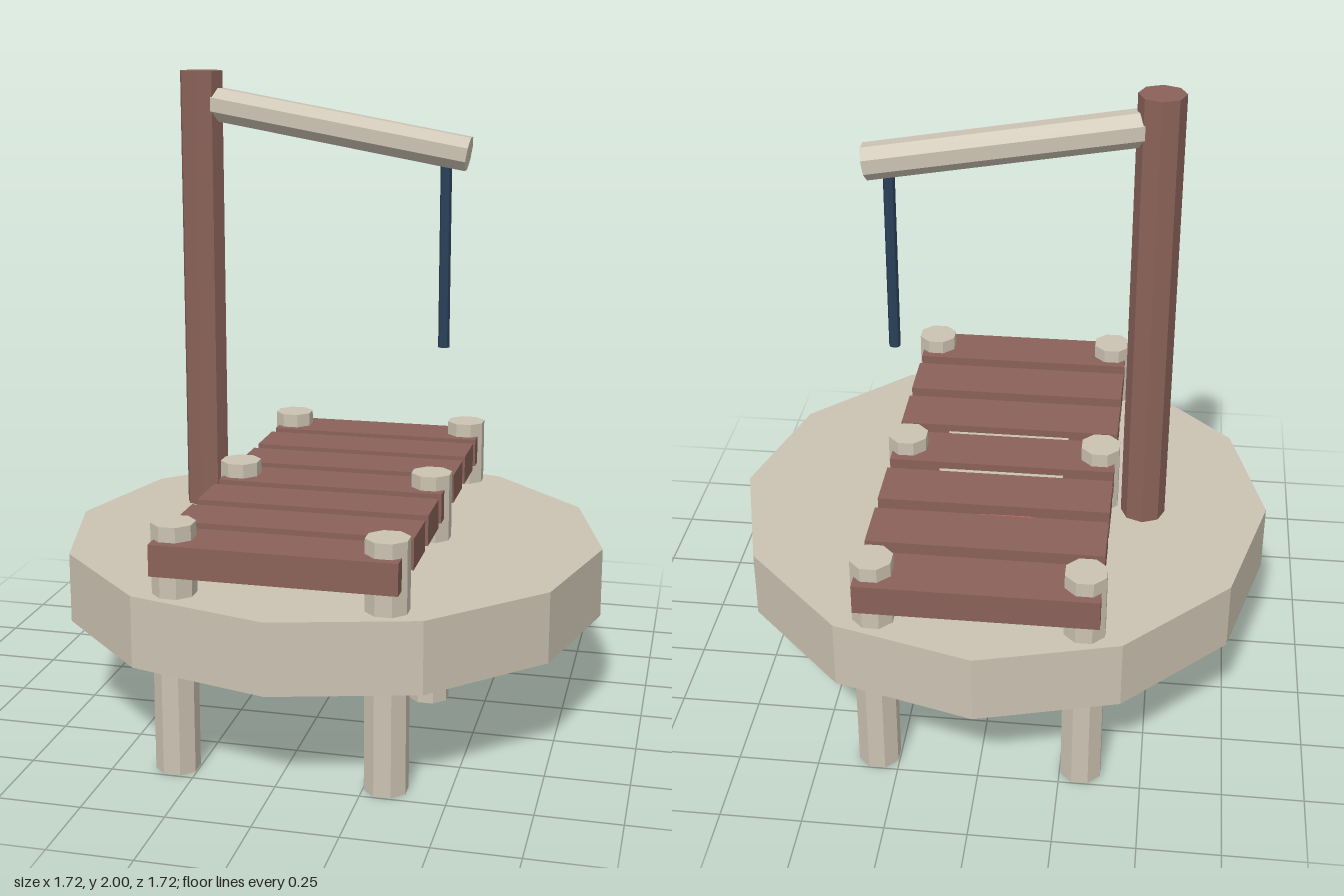
import * as THREE from 'three';

const mat = (name, color, side = THREE.FrontSide) => {
  const m = new THREE.MeshStandardMaterial({ color, side, flatShading: true });
  m.name = name;
  return m;
};

// Rowing boat shell: closed rings of five points joined by quads, plus a floor
function boatGeometry() {
  const mirror = ([stern, side, bow]) => {
    const flip = ([x, y, z]) => [-x, y, z];
    return [stern, side, bow, flip(side), flip(stern)];
  };
  const rings = [
    [[0.26, 0.54, 0.335], [0.2, 0.54, -0.22], [0, 0.54, -0.45]],      // keel
    [[0.285, 0.622, 0.345], [0.215, 0.668, -0.275], [0, 0.71, -0.515]], // outer rim
    [[0.215, 0.622, 0.28], [0.165, 0.668, -0.22], [0, 0.668, -0.23]],  // inner rim
    [[0.2, 0.56, 0.27], [0.15, 0.56, -0.2], [0, 0.56, -0.21]],         // floor
  ].map(mirror);
  const n = rings[0].length;
  const index = [];
  for (let r = 0; r < rings.length - 1; r++) {
    for (let i = 0; i < n; i++) {
      const j = (i + 1) % n;
      const a = r * n + i, b = r * n + j, c = a + n, d = b + n;
      index.push(a, b, d, a, d, c);
    }
  }
  const last = (rings.length - 1) * n;
  for (let i = 1; i < n - 1; i++) index.push(last, last + i, last + i + 1);
  const g = new THREE.BufferGeometry();
  g.setAttribute('position', new THREE.Float32BufferAttribute(rings.flat(2), 3));
  g.setIndex(index);
  const flat = g.toNonIndexed();
  flat.computeVertexNormals();
  return flat;
}

export function createModel() {
  const group = new THREE.Group();
  group.name = 'dock';
  const stone = mat('pale stone', 0xcbc2b1);
  const wood = mat('brown wood', 0x8a6259);
  const red = mat('boat red', 0xd06a5b, THREE.DoubleSide);
  const navy = mat('rope navy', 0x2a4059);

  const add = (name, geometry, material, x, y, z) => {
    const mesh = new THREE.Mesh(geometry, material);
    mesh.name = name;
    mesh.position.set(x, y, z);
    group.add(mesh);
    return mesh;
  };

  // Round base slab
  add('base', new THREE.CylinderGeometry(0.86, 0.86, 0.22, 12), stone, 0, 0.435, 0);

  // Three pairs of piles
  const pile = new THREE.CylinderGeometry(0.066, 0.066, 0.76, 8);
  pile.rotateY(Math.PI / 8);
  for (const z of [-0.685, 0, 0.683])
    for (const x of [-0.315, 0.315]) add('pile', pile, stone, x, 0.38, z);

  // Deck planks
  const plank = new THREE.BoxGeometry(0.725, 0.095, 0.177);
  for (let i = -3; i <= 3; i++) add('plank', plank, wood, 0, 0.667, i * 0.228);

  // Boat with two benches under the deck
  add('boatHull', boatGeometry(), red, 0, 0, 0);
  const bench = new THREE.BoxGeometry(0.4, 0.06, 0.1);
  for (const z of [0.11, -0.115]) add('boatBench', bench, stone, 0, 0.66, z);

  // Hoist post, sloping arm and hanging rope
  add('post', new THREE.CylinderGeometry(0.07, 0.07, 1.415, 8), wood, -0.46, 1.2925, -0.1);
  const start = new THREE.Vector3(-0.43, 1.9, -0.1);
  const end = new THREE.Vector3(0.4, 1.755, -0.1);
  const dir = end.clone().sub(start);
  const arm = add('hoistArm', new THREE.CylinderGeometry(0.056, 0.056, dir.length(), 8).rotateY(Math.PI / 8),
    stone, ...start.clone().lerp(end, 0.5).toArray());
  arm.quaternion.setFromUnitVectors(new THREE.Vector3(0, 1, 0), dir.normalize());
  add('rope', new THREE.CylinderGeometry(0.018, 0.018, 0.6, 8), navy, 0.33, 1.445, -0.1);

  return group;
}
